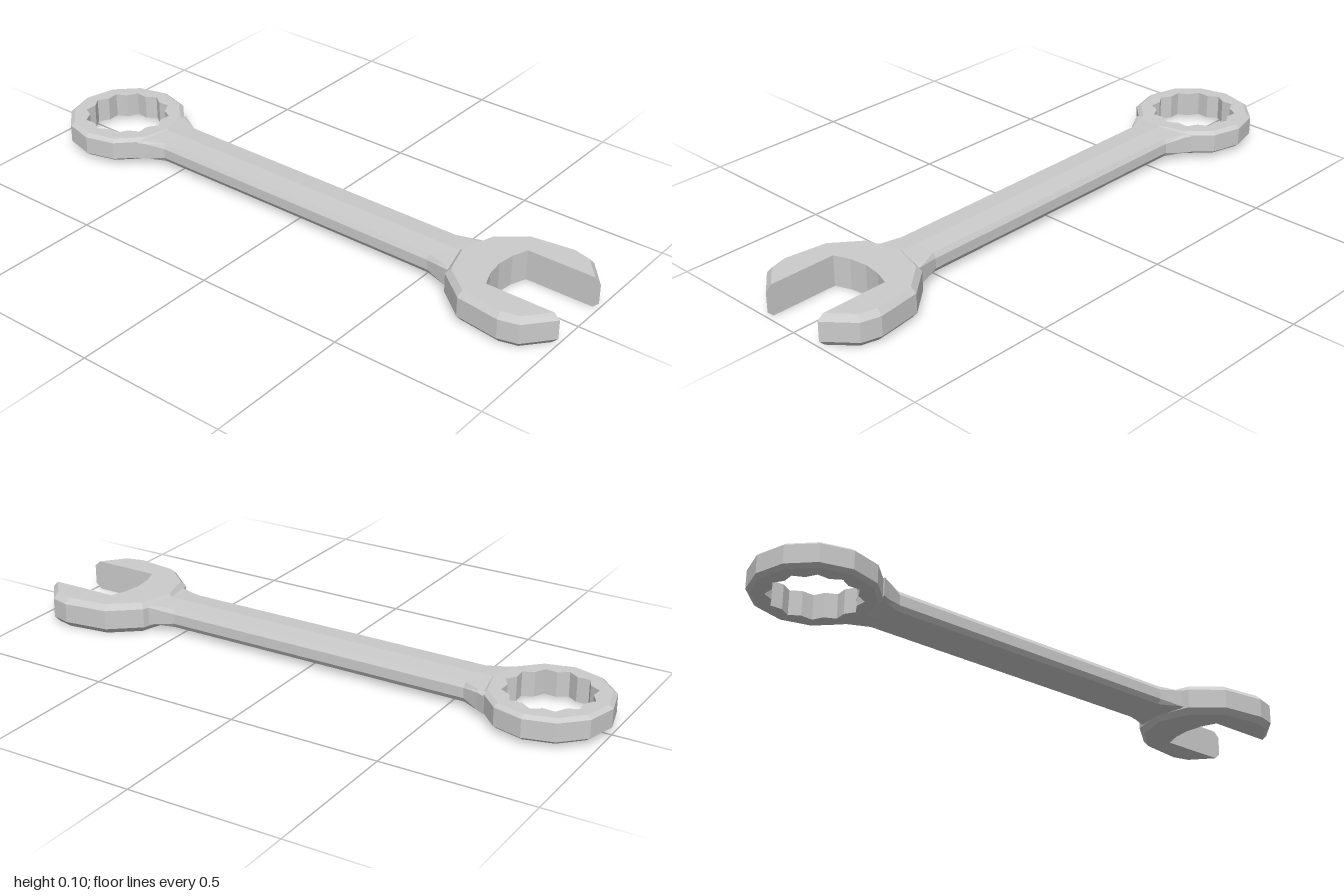
import * as THREE from 'three';

const { ShapeUtils } = THREE;

// Turns a list of triangle corners [x, y, z] into a faceted mesh
function facetedMesh(name, corners) {
  const geometry = new THREE.BufferGeometry();
  geometry.setAttribute('position', new THREE.Float32BufferAttribute(corners.flat(), 3));
  geometry.computeVertexNormals();
  const mesh = new THREE.Mesh(geometry, new THREE.MeshStandardMaterial({ color: 0xcccccc, flatShading: true }));
  mesh.name = name;
  return mesh;
}

// Joins two loops of equal length with quads
function bridge(out, a, b) {
  a.forEach((p, i) => {
    const j = (i + 1) % a.length;
    out.push(p, b[i], b[j], p, b[j], a[j]);
  });
}

// Flat plate whose outline narrows to `inset` at its top and bottom.
// Outlines are [x, z], counter-clockwise; the hole runs clockwise.
function chamferedPlate(name, full, inset, hole, y0, y1, chamfer) {
  const out = [];
  const at = (loop, y) => loop.map(([x, z]) => [x, y, z]);
  const levels = [at(inset, y0), at(full, y0 + chamfer), at(full, y1 - chamfer), at(inset, y1)];
  for (let i = 0; i < 3; i++) bridge(out, levels[i], levels[i + 1]);
  if (hole.length) bridge(out, at(hole, y0), at(hole, y1));

  const vec = loop => loop.map(([x, z]) => new THREE.Vector2(x, z));
  const points = [...inset, ...hole];
  const faces = ShapeUtils.triangulateShape(vec(inset), hole.length ? [vec(hole)] : []);
  for (const [a, b, c] of faces) {
    const [bottom, top] = [y0, y1].map(y => at([points[a], points[b], points[c]], y));
    out.push(...bottom, top[0], top[2], top[1]);
  }
  return facetedMesh(name, out);
}

// Closed ring of points; radius may vary with the index
function polygon(n, radius, cz) {
  return Array.from({ length: n }, (_, i) => {
    const a = (i / n) * Math.PI * 2;
    const r = radius(i);
    return [Math.cos(a) * r, cz + Math.sin(a) * r];
  });
}

// Mirrors a half outline (from the centre line, back to the centre line)
function mirrored(half) {
  return [...half, ...half.slice(1, -1).reverse().map(([x, z]) => [-x, z])];
}

export function createModel() {
  const group = new THREE.Group();
  group.name = 'combinationWrench';

  // Ring end with a twelve-point socket
  const socket = polygon(24, i => (i % 2 ? 0.128 : 0.145), -0.8).reverse();
  group.add(chamferedPlate('ringEnd',
    polygon(12, () => 0.2, -0.8), polygon(12, () => 0.186, -0.8), socket, 0.013, 0.095, 0.011));

  // Open end: outer edge is chamfered, jaw faces stay straight
  const jaw = [[0.113, 0.75], [0.06, 0.73], [0, 0.722]];
  const outer = mirrored([[0, 0.575], [0.12, 0.612], [0.2, 0.71], [0.22, 0.86], [0.203, 0.925], [0.113, 1], ...jaw]);
  const inner = mirrored([[0, 0.592], [0.111, 0.626], [0.184, 0.716], [0.203, 0.858], [0.188, 0.916], [0.113, 0.98], ...jaw]);
  group.add(chamferedPlate('openEnd', outer, inner, [], 0, 0.103, 0.019));

  // Handle: crowned, bevelled bar that flares into both ends
  // Stations: [z, half width, half width of top, half height of side]
  const stations = [
    [-0.64, 0.122, 0.108, 0.029],
    [-0.615, 0.108, 0.096, 0.028],
    [-0.555, 0.079, 0.069, 0.017],
    [0.52, 0.079, 0.069, 0.017],
    [0.6, 0.1, 0.088, 0.029],
    [0.64, 0.106, 0.094, 0.03],
  ];
  const mid = 0.055;
  const sections = stations.map(([z, w, t, h]) => [
    [0, 0.038], [t, 0.033], [w, h], [w, -h], [t, -0.033],
    [0, -0.038], [-t, -0.033], [-w, -h], [-w, h], [-t, 0.033],
  ].map(([x, y]) => [x, mid + y, z]));
  const bar = [];
  for (let i = 0; i < sections.length - 1; i++) bridge(bar, sections[i], sections[i + 1]);
  // Closing faces, buried in the two heads
  const first = sections[0];
  const last = sections[sections.length - 1];
  for (let i = 1; i < first.length - 1; i++) {
    bar.push(first[0], first[i], first[i + 1], last[0], last[i + 1], last[i]);
  }
  group.add(facetedMesh('handle', bar));

  return group;
}
